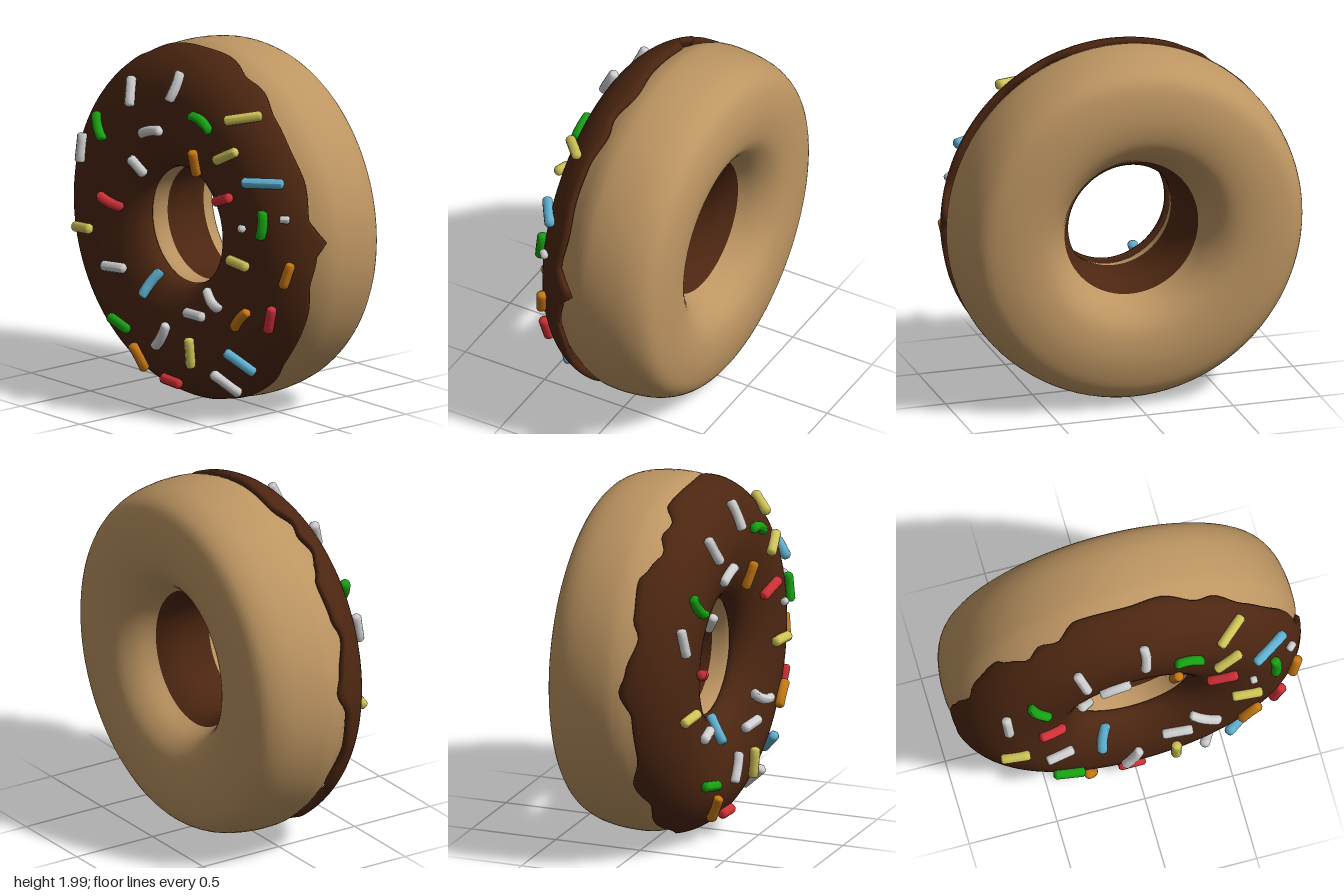
import * as THREE from 'three';
import { mergeVertices } from 'three/addons/utils/BufferGeometryUtils.js';

const paint = (name, color) => {
  const m = new THREE.MeshStandardMaterial({ color });
  m.name = name;
  return m;
};

// Icing cross-section: outer and inner quarter ellipses meeting at the crest
const CREST = 0.66, TOP = 0.37;
const outerRadius = (z) => CREST + 0.34 * Math.sqrt(Math.max(0, 1 - (Math.max(0, z - 0.05) / 0.32) ** 2));
const surfaceZ = (r) => r > CREST
  ? 0.05 + 0.32 * Math.sqrt(Math.max(0, 1 - ((r - CREST) / 0.34) ** 2))
  : 0.2 + 0.17 * Math.sqrt(Math.max(0, 1 - ((CREST - r) / 0.335) ** 2));

// Wavy outer rim of the icing: [angle in degrees, z of the edge]
const RIM = [[0, 0.12], [4, 0.055], [8, 0.11], [12, 0.15], [24, 0.13], [37, 0.145], [48, 0.14], [60, 0.1],
  [66, 0.12], [78, 0.07], [90, 0.09], [107, 0.08], [115, 0.15], [121, 0.13], [127, 0.17], [134, 0.13],
  [139, 0.09], [152, 0.11], [158, 0.15], [170, 0.1], [176, 0.07], [185, 0.14], [200, 0.15], [212, 0.1],
  [222, 0.15], [235, 0.11], [245, 0.14], [258, 0.1], [270, 0.09], [282, 0.15], [295, 0.1], [307, 0.1],
  [320, 0.14], [340, 0.13], [350, 0.15], [360, 0.12]];
function rimZ(deg) {
  const i = Math.max(1, RIM.findIndex((p) => p[0] >= deg));
  const [a, za] = RIM[i - 1], [b, zb] = RIM[i];
  return THREE.MathUtils.lerp(za, zb, THREE.MathUtils.smoothstep(deg, a, b));
}

// Ring around the z axis from [radius, z] points
function ring(points, segments = 96) {
  const geo = new THREE.LatheGeometry(points.map(([r, z]) => new THREE.Vector2(r, z)), segments);
  return geo.rotateX(Math.PI / 2);
}
const smooth = (points, n) => new THREE.SplineCurve(points.map(([r, z]) => new THREE.Vector2(r, z)))
  .getPoints(n).map((p) => [p.x, p.y]);

function icingGeometry() {
  const profile = [[0.93, 0.125], [0.955, 0.09], [0.98, 0.083]];
  for (let i = 0; i <= 14; i++) {
    const t = THREE.MathUtils.lerp(0.157, Math.PI / 2, i / 14);
    profile.push([CREST + 0.34 * Math.cos(t), 0.05 + 0.32 * Math.sin(t)]);
  }
  for (let i = 1; i <= 12; i++) {
    const t = (i / 12) * Math.PI / 2;
    profile.push([CREST - 0.335 * Math.sin(t), 0.2 + 0.17 * Math.cos(t)]);
  }
  profile.push([0.335, 0.188], [0.37, 0.185]);
  let geo = ring(profile, 180);
  geo.deleteAttribute('uv');
  geo.deleteAttribute('normal');
  geo = mergeVertices(geo, 1e-4);
  // Stretch the outer skirt down to the wavy rim
  const p = geo.attributes.position;
  for (let i = 0; i < p.count; i++) {
    const x = p.getX(i), y = p.getY(i), z = p.getZ(i), r = Math.hypot(x, y);
    if (r < 0.8 || z > 0.3) continue;
    const deg = (THREE.MathUtils.radToDeg(Math.atan2(y, x)) + 360) % 360;
    const zn = 0.3 + (z - 0.3) * (0.3 - rimZ(deg)) / 0.215;
    const k = (r + outerRadius(zn) - outerRadius(z)) / r;
    p.setXYZ(i, x * k, y * k, zn);
  }
  geo.computeVertexNormals();
  return geo;
}

// Bent, blunt-ended rod between two points on the icing
function sprinkle(x1, y1, x2, y2, bend, radius, material) {
  const onIcing = (x, y) => new THREE.Vector3(x, y, surfaceZ(Math.hypot(x, y)));
  const a = onIcing(x1, y1), b = onIcing(x2, y2);
  const along = b.clone().sub(a), h = along.length() / 2;
  along.normalize();
  const mid = onIcing((x1 + x2) / 2, (y1 + y2) / 2);
  const r = Math.hypot(mid.x, mid.y), e = 0.005;
  const slope = (surfaceZ(r + e) - surfaceZ(r - e)) / (2 * e);
  const out = new THREE.Vector3(-slope * mid.x / r, -slope * mid.y / r, 1).normalize();
  const side = new THREE.Vector3().crossVectors(along, out).normalize();
  out.crossVectors(side, along);

  const pts = [[0, -h], [0.65 * radius, -h], [radius, -h + 0.4 * radius]];
  for (const t of [-0.4, 0, 0.4]) pts.push([radius, t * h]);
  pts.push([radius, h - 0.4 * radius], [0.65 * radius, h], [0, h]);
  const geo = new THREE.LatheGeometry(pts.map(([u, v]) => new THREE.Vector2(u, v)), 12);
  const p = geo.attributes.position;
  for (let i = 0; i < p.count; i++) p.setX(i, p.getX(i) + bend * ((p.getY(i) / h) ** 2 - 0.4));
  geo.computeVertexNormals();
  geo.applyMatrix4(new THREE.Matrix4().makeBasis(side, along, out)
    .setPosition(mid.addScaledVector(out, 0.018)));
  const mesh = new THREE.Mesh(geo, material);
  mesh.name = 'sprinkle';
  return mesh;
}

export function createModel() {
  const model = new THREE.Group();
  model.name = 'donut';
  const body = new THREE.Group();
  body.name = 'donutBody';
  body.position.y = 1;
  model.add(body);

  const dough = paint('dough', 0xbd9562);
  const chocolate = paint('chocolate', 0x4c2611);
  const white = paint('white', 0xcfcfcf), green = paint('green', 0x18a012);
  const yellow = paint('yellow', 0xcfc357), red = paint('red', 0xcf3038);
  const orange = paint('orange', 0xc87813), blue = paint('blue', 0x60b0d0);

  const add = (name, geo, material) => {
    const mesh = new THREE.Mesh(geo, material);
    mesh.name = name;
    body.add(mesh);
  };

  // Dough, from the back of the hole around the outside to the front of the hole
  add('dough', ring(smooth([[0.385, -0.22], [0.44, -0.32], [0.53, -0.395], [0.65, -0.422], [0.78, -0.415],
    [0.9, -0.375], [0.965, -0.28], [0.993, -0.15], [0.996, -0.02], [0.98, 0.05], [0.95, 0.11], [0.89, 0.2],
    [0.8, 0.28], [0.65, 0.33], [0.5, 0.3], [0.4, 0.24], [0.345, 0.18], [0.325, 0.09]], 70)), dough);
  // Chocolate band lining the hole
  add('innerBand', ring(smooth([[0.325, 0.09], [0.32, 0], [0.328, -0.1], [0.35, -0.165], [0.385, -0.22]], 16)), chocolate);
  add('icing', icingGeometry(), chocolate);

  // Sprinkles: ends x1, y1, x2, y2 measured from the hole centre, then bend
  const sprinkles = [
    [white, [[0.05, 0.89, 0.04, 0.73, 0.01], [-0.34, 0.79, -0.29, 0.64, 0], [-0.74, 0.39, -0.73, 0.23, 0],
      [-0.33, 0.35, -0.27, 0.25, 0], [-0.22, 0.51, -0.05, 0.56, 0.01], [-0.53, -0.31, -0.37, -0.3, 0],
      [0.3, -0.3, 0.46, -0.37, -0.02], [0.14, -0.45, 0.31, -0.44, 0], [-0.08, -0.69, 0.01, -0.54, -0.01],
      [0.37, -0.73, 0.44, -0.86, 0]]],
    [green, [[-0.62, 0.53, -0.52, 0.4, -0.02], [0.21, 0.7, 0.37, 0.64, 0.02], [0.78, 0.26, 0.78, 0.1, 0.01],
      [-0.48, -0.59, -0.31, -0.63, 0]]],
    [yellow, [[0.46, 0.7, 0.62, 0.74, 0], [0.43, 0.48, 0.58, 0.56, 0], [-0.78, -0.14, -0.62, -0.12, 0],
      [0.53, -0.06, 0.7, -0.07, 0], [0.21, -0.57, 0.21, -0.74, 0]]],
    [orange, [[0.23, 0.5, 0.21, 0.35, 0], [0.92, -0.02, 0.88, -0.16, 0], [0.68, -0.32, 0.57, -0.44, -0.01],
      [-0.28, -0.7, -0.24, -0.85, 0.01]]],
    [red, [[0.4, 0.24, 0.56, 0.3, 0], [-0.57, 0.08, -0.42, 0.03, -0.01], [0.82, -0.28, 0.77, -0.43, 0],
      [-0.1, -0.86, 0.05, -0.87, 0]]],
    [blue, [[0.65, 0.4, 0.85, 0.41, 0], [-0.17, -0.29, -0.22, -0.43, -0.01], [0.5, -0.58, 0.62, -0.7, 0]]],
  ];
  for (const [material, list] of sprinkles) {
    for (const [x1, y1, x2, y2, bend] of list) body.add(sprinkle(x1, y1, x2, y2, bend, 0.029, material));
  }
  // Two small crumbs
  for (const [x, y] of [[0.65, 0.14], [0.88, 0.22]]) {
    body.add(sprinkle(x - 0.02, y, x + 0.02, y, 0, 0.022, white));
  }
  return model;
}
